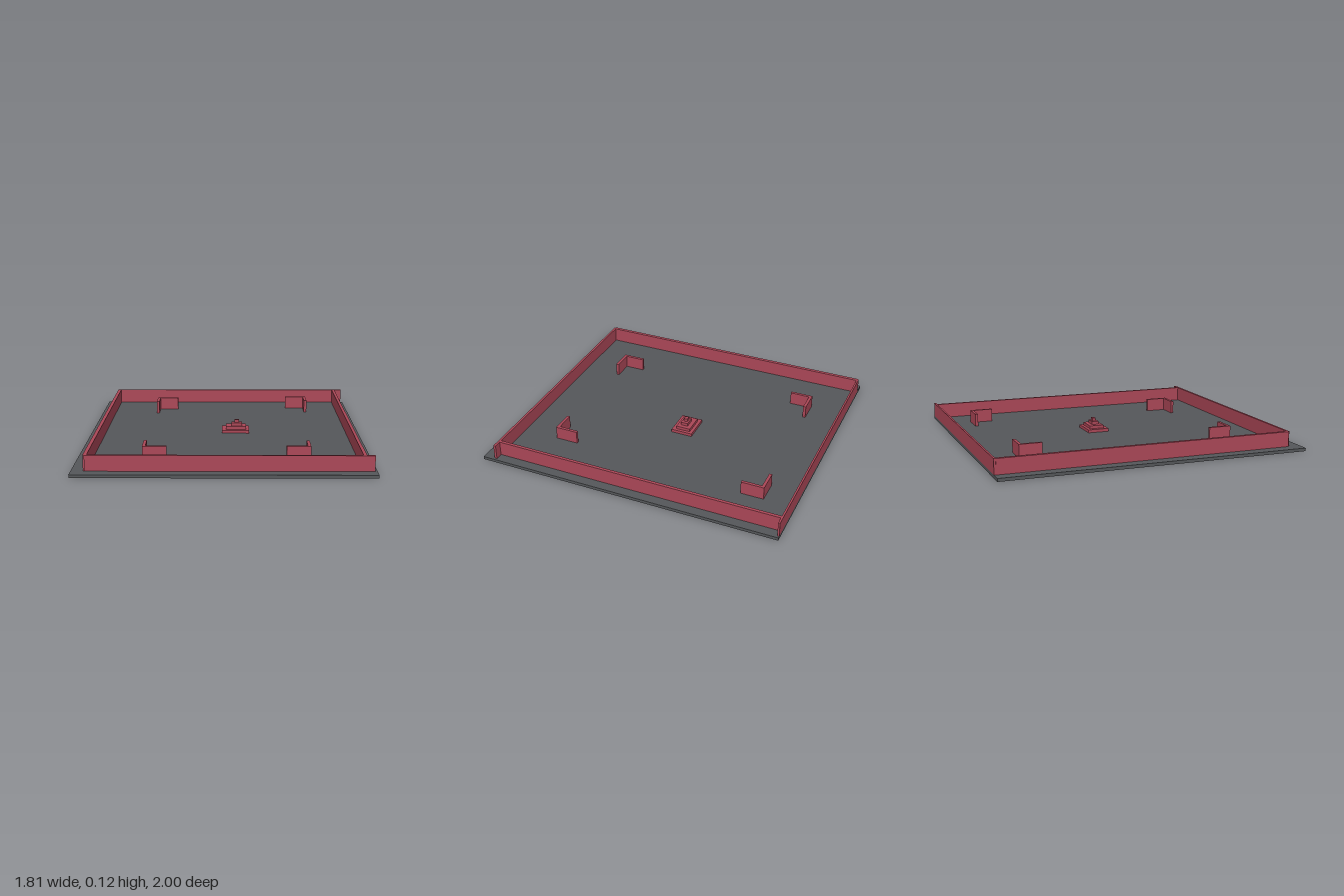
import * as THREE from 'three';

const slate = new THREE.MeshStandardMaterial({ color: 0x55575a });
const red = new THREE.MeshStandardMaterial({ color: 0xab4757 });
const FLOOR = 0.02, WALL_TOP = 0.117, BRACKET_TOP = 0.105;

// Box given by its extents along each axis
function block(name, [x0, x1], [y0, y1], [z0, z1], material = red) {
  const mesh = new THREE.Mesh(new THREE.BoxGeometry(x1 - x0, y1 - y0, z1 - z0), material);
  mesh.position.set((x0 + x1) / 2, (y0 + y1) / 2, (z0 + z1) / 2);
  mesh.name = name;
  return mesh;
}

// L-shaped screen: outer corner at (x, z), arms running along sx and sz
function cornerScreen(name, x, z, sx, sz) {
  const length = 0.15, thick = 0.019;
  const span = (a, s, d) => (s > 0 ? [a, a + d] : [a - d, a]);
  const group = new THREE.Group();
  group.name = name;
  const y = [FLOOR, BRACKET_TOP];
  group.add(
    block('longArm', span(x, sx, length), y, span(z, sz, thick)),
    block('sideArm', span(x, sx, thick), y, span(z + sz * thick, sz, length - thick)),
  );
  return group;
}

export function createModel() {
  const model = new THREE.Group();
  model.name = 'walledCourtyard';

  // Ground slab
  model.add(block('groundSlab', [-0.905, 0.905], [0, FLOOR], [-1, 1], slate));

  // Perimeter walls; front and back run past the left wall
  const y = [FLOOR, WALL_TOP];
  model.add(
    block('backWall', [-0.83, 0.89], y, [-1, -0.988]),
    block('frontWall', [-0.823, 0.89], y, [0.91, 0.926]),
    block('rightWall', [-0.832, -0.809], y, [-0.988, 0.918]),
    block('leftWall', [0.821, 0.841], y, [-0.988, 0.91]),
  );

  // Four corner screens
  model.add(
    cornerScreen('backRightScreen', -0.506, -0.761, 1, 1),
    cornerScreen('backLeftScreen', 0.601, -0.801, -1, 1),
    cornerScreen('frontRightScreen', -0.504, 0.675, 1, -1),
    cornerScreen('frontLeftScreen', 0.533, 0.671, -1, -1),
  );

  // Stepped central monument
  const monument = new THREE.Group();
  monument.name = 'steppedMonument';
  const steps = [
    [[-0.021, 0.164], [-0.138, 0.005]],
    [[0.008, 0.143], [-0.117, -0.021]],
    [[0.045, 0.116], [-0.09, -0.042]],
    [[0.066, 0.095], [-0.079, -0.056]],
  ];
  steps.forEach(([x, z], i) => {
    const y0 = FLOOR + i * 0.02;
    monument.add(block('step' + (i + 1), x, [y0, y0 + 0.02], z));
  });
  model.add(monument);

  return model;
}
